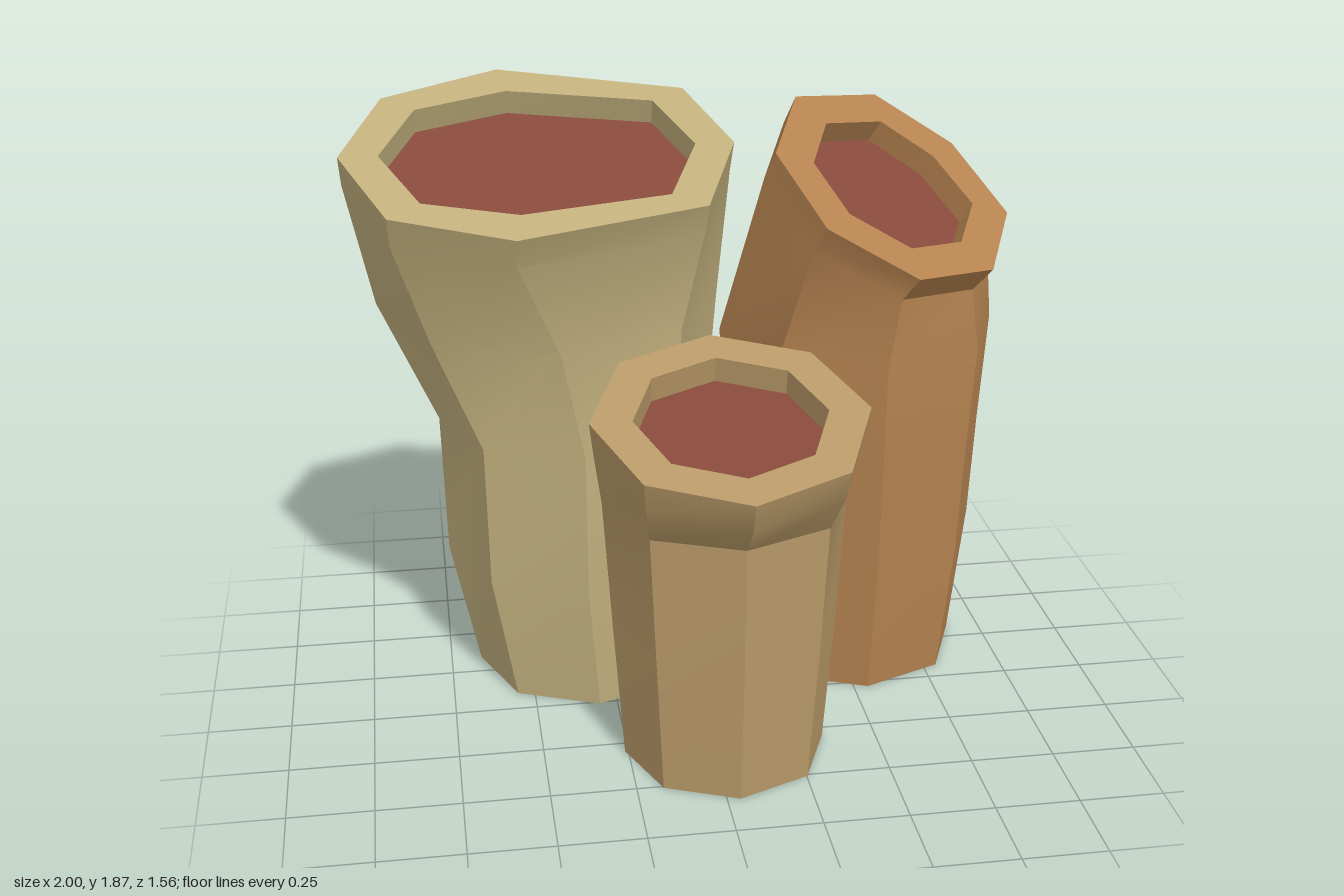
import * as THREE from 'three';
import { toCreasedNormals } from 'three/addons/utils/BufferGeometryUtils.js';

const SIDES = 8;

// Level or tilted octagon: centre, radii and slope along z
function octagon(x, y, z, rx, rz = rx, slope = 0) {
  return Array.from({ length: SIDES }, (_, k) => {
    const a = (k / SIDES) * Math.PI * 2;
    const dz = rz * Math.sin(a);
    return new THREE.Vector3(x + rx * Math.cos(a), y + slope * dz, z + dz);
  });
}

// Skin of quads through a list of rings, optionally closed by a cap
function loft(rings, cap) {
  const pos = [];
  const tri = (...points) => points.forEach((p) => pos.push(p.x, p.y, p.z));
  for (let i = 0; i + 1 < rings.length; i++) {
    for (let k = 0; k < SIDES; k++) {
      const n = (k + 1) % SIDES;
      const [a, b, c, d] = [rings[i][k], rings[i][n], rings[i + 1][k], rings[i + 1][n]];
      tri(a, c, b);
      tri(b, c, d);
    }
  }
  if (cap) {
    const ring = cap === 'bottom' ? rings[0] : rings[rings.length - 1];
    const mid = centreOf(ring);
    for (let k = 0; k < SIDES; k++) {
      const [p, q] = [ring[k], ring[(k + 1) % SIDES]];
      if (cap === 'bottom') tri(mid, p, q);
      else tri(mid, q, p);
    }
  }
  const geo = new THREE.BufferGeometry();
  geo.setAttribute('position', new THREE.Float32BufferAttribute(pos, 3));
  return toCreasedNormals(geo, 0.55);
}

function centreOf(ring) {
  return ring.reduce((s, p) => s.add(p), new THREE.Vector3()).divideScalar(ring.length);
}

// One hollow-topped tube: body rings, a tilted rim, an inset and a red floor
function makeTube({ name, color, body, rim, rimY, slope, neck, lip }) {
  const flat = rim.map(([x, z]) => new THREE.Vector3(x, 0, z));
  const mid = centreOf(flat);
  mid.y = rimY;
  const top = flat.map((p) =>
    p.clone().setY(rimY + slope[0] * (p.x - mid.x) + slope[1] * (p.z - mid.z)));
  const normal = new THREE.Vector3(-slope[0], 1, -slope[1]).normalize();

  const under = top.map((p) =>
    p.clone().sub(mid).multiplyScalar(neck).add(mid).addScaledVector(normal, -0.1));
  const inner = top.map((p) => {
    const d = p.clone().sub(mid);
    return d.setLength(d.length() - lip).add(mid);
  });
  const floor = inner.map((p) => p.clone().addScaledVector(normal, -0.08));

  const shell = new THREE.MeshStandardMaterial({ color });
  const red = new THREE.MeshStandardMaterial({ color: 0x864a3a });
  const group = new THREE.Group();
  group.name = name;
  const add = (part, geo, mat) => {
    const mesh = new THREE.Mesh(geo, mat);
    mesh.name = part;
    group.add(mesh);
  };
  add('outerWall', loft([...body, under, top], 'bottom'), shell);
  add('rim', loft([top, inner]), shell);
  add('innerWall', loft([inner, floor]), shell);
  add('floor', loft([floor], 'top'), red);
  return group;
}

export function createModel() {
  const model = new THREE.Group();
  model.name = 'tubeCluster';

  // Wide flared tube at the back
  model.add(makeTube({
    name: 'wideTube', color: 0xc0ae7c,
    body: [
      octagon(-0.305, 0, -0.34, 0.35),
      octagon(-0.335, 0.41, -0.335, 0.405, 0.38),
      octagon(-0.335, 0.85, -0.335, 0.415, 0.385),
      octagon(-0.4, 1.22, -0.37, 0.52, 0.41, -0.1),
    ],
    rim: [[0.145, -0.22], [0.03, 0.05], [-0.52, 0.16], [-0.87, 0.05],
      [-1, -0.22], [-0.87, -0.48], [-0.52, -0.6], [0.03, -0.48]],
    rimY: 1.714, slope: [0, -0.4], neck: 0.99, lip: 0.115,
  }));

  // Tall brown tube leaning its mouth to the front and side
  model.add(makeTube({
    name: 'tallTube', color: 0xb58350,
    body: [
      octagon(0.545, 0, -0.32, 0.35),
      octagon(0.555, 0.42, -0.33, 0.39),
      octagon(0.555, 0.76, -0.325, 0.405),
      octagon(0.55, 1.1, -0.32, 0.43),
    ],
    rim: [[0.995, -0.25], [0.88, 0.01], [0.62, 0.16], [0.36, 0.1],
      [0.25, -0.12], [0.36, -0.39], [0.64, -0.54], [0.87, -0.46]],
    rimY: 1.58, slope: [-0.43, -0.54], neck: 0.97, lip: 0.125,
  }));

  // Short tube in front
  model.add(makeTube({
    name: 'shortTube', color: 0xb99a68,
    body: [
      octagon(0.04, 0, 0.295, 0.3),
      octagon(0.04, 0.42, 0.3, 0.33),
      octagon(0.04, 0.82, 0.295, 0.355),
    ],
    rim: octagon(0.04, 0, 0.385, 0.395).map((p) => [p.x, p.z]),
    rimY: 1.105, slope: [0, -0.235], neck: 0.97, lip: 0.12,
  }));

  return model;
}
